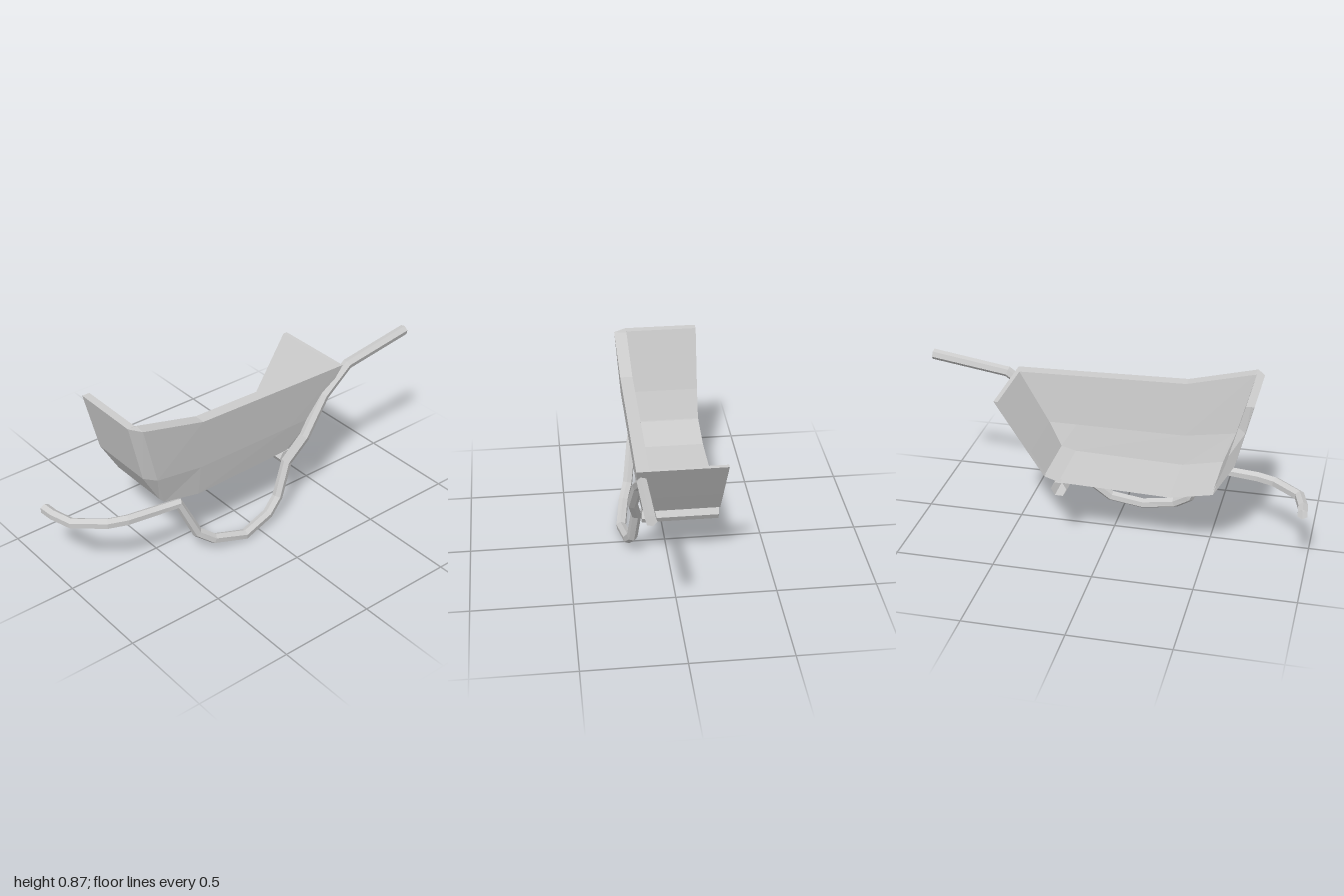
import * as THREE from 'three';

const CUT = -0.24; // plane where the tray and frame end, open

const steel = new THREE.MeshStandardMaterial({ color: 0xcccccc, flatShading: true, side: THREE.DoubleSide });
steel.name = 'grey steel';

// Collect the quads between two equally long rows of points
function strip(out, a, b) {
  for (let i = 0; i < a.length - 1; i++) {
    out.push(...a[i], ...a[i + 1], ...b[i + 1], ...a[i], ...b[i + 1], ...b[i]);
  }
}

function meshFrom(points, name) {
  const g = new THREE.BufferGeometry();
  g.setAttribute('position', new THREE.Float32BufferAttribute(points, 3));
  g.computeVertexNormals();
  const m = new THREE.Mesh(g, steel);
  m.name = name;
  return m;
}

// Six-sided bar swept along a path, open at the start and capped at the end
function hexBar(path, radius, startUp, name) {
  const pts = path.map(p => new THREE.Vector3(...p));
  const up = startUp.clone();
  const rings = pts.map((p, i) => {
    const before = p.clone().sub(pts[Math.max(i - 1, 0)]).normalize();
    const after = pts[Math.min(i + 1, pts.length - 1)].clone().sub(p).normalize();
    const t = before.add(after).normalize();
    up.addScaledVector(t, -up.dot(t)).normalize();
    const side = t.clone().cross(up);
    return Array.from({ length: 7 }, (_, j) => {
      const a = (j % 6) * Math.PI / 3;
      return p.clone().addScaledVector(up, radius * Math.cos(a))
        .addScaledVector(side, radius * Math.sin(a)).toArray();
    });
  });
  const out = [];
  for (let i = 0; i < rings.length - 1; i++) strip(out, rings[i], rings[i + 1]);
  const last = rings[rings.length - 1];
  for (let j = 0; j < 6; j++) out.push(...path[path.length - 1], ...last[j], ...last[j + 1]);
  return meshFrom(out, name);
}

// One level of the tray wall, from the cut, round the long side, back to the cut
function level(corners) {
  const first = corners[0], last = corners[corners.length - 1];
  return [[first[0], first[1], CUT], ...corners, [last[0], last[1], CUT]];
}

function buildTray() {
  const tray = new THREE.Group();
  tray.name = 'tray';
  const outer = [
    level([[-0.54, 0.38, 0.10], [-0.535, 0.38, 0.135], [-0.335, 0.34, 0.14], [0.22, 0.355, 0.14], [0.30, 0.38, 0.14]]),
    level([[-0.64, 0.55, 0.115], [-0.595, 0.55, 0.17], [-0.335, 0.51, 0.165], [0.22, 0.51, 0.165], [0.385, 0.51, 0.165]]),
    level([[-0.72, 0.868, 0.13], [-0.68, 0.868, 0.192], [-0.335, 0.782, 0.19], [0.30, 0.767, 0.19], [0.547, 0.762, 0.19]]),
  ];
  const inner = [
    level([[-0.54, 0.40, 0.07], [-0.53, 0.40, 0.07], [-0.335, 0.36, 0.07], [0.22, 0.375, 0.07], [0.295, 0.395, 0.07]]),
    level([[-0.595, 0.55, 0.10], [-0.585, 0.55, 0.10], [-0.335, 0.51, 0.10], [0.22, 0.51, 0.10], [0.365, 0.51, 0.10]]),
    level([[-0.68, 0.868, 0.128], [-0.67, 0.866, 0.128], [-0.335, 0.782, 0.128], [0.30, 0.767, 0.128], [0.525, 0.762, 0.128]]),
  ];
  const outside = [], inside = [], rim = [];
  for (let i = 0; i < 2; i++) {
    strip(outside, outer[i], outer[i + 1]);
    strip(inside, inner[i + 1], inner[i]);
  }
  // Floor, below and above
  const toCut = row => row.map(p => [p[0], p[1], CUT]);
  const under = outer[0].slice(1, 6), floor = inner[0].slice(1, 6);
  strip(outside, toCut(under), under);
  strip(inside, floor, toCut(floor));
  strip(rim, outer[2], inner[2]);
  tray.add(meshFrom(outside, 'trayOutside'), meshFrom(inside, 'trayInside'), meshFrom(rim, 'trayRim'));
  return tray;
}

export function createModel() {
  const model = new THREE.Group();
  model.name = 'halfBarrow';
  model.add(buildTray());

  // Bent frame: front loop, leg and straight handle
  const framePath = [
    [-0.975, 0.33, CUT], [-0.97, 0.33, -0.17], [-0.94, 0.33, -0.06], [-0.81, 0.33, 0.05],
    [-0.72, 0.33, 0.085], [-0.45, 0.33, 0.13], [-0.36, 0.13, 0.16], [-0.28, 0.07, 0.19],
    [-0.105, 0.027, 0.217], [0.065, 0.065, 0.195], [0.14, 0.13, 0.18], [0.21, 0.31, 0.165],
    [0.305, 0.435, 0.19], [0.44, 0.62, 0.175], [0.6, 0.738, 0.167], [0.995, 0.798, 0.167],
  ];
  model.add(hexBar(framePath, 0.027, new THREE.Vector3(0, 1, 0), 'frame'));

  // Cross bar under the tray
  model.add(hexBar([[0.228, 0.317, CUT], [0.228, 0.317, 0.14]], 0.041, new THREE.Vector3(1, 0, 0), 'crossBar'));
  return model;
}
